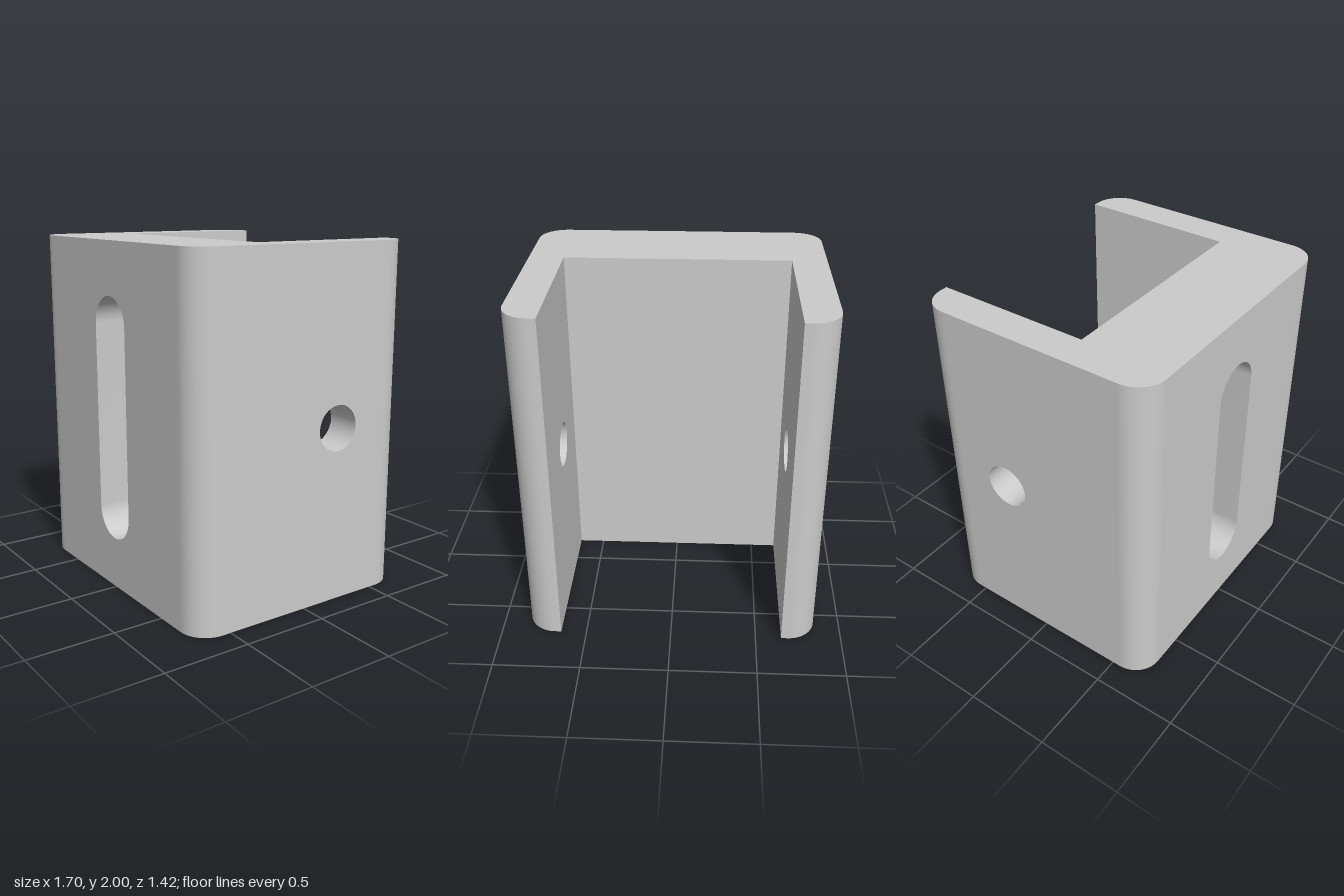
import * as THREE from 'three';
import { toCreasedNormals } from 'three/addons/utils/BufferGeometryUtils.js';

const H = 2, X = 0.85, Z = 0.71;        // height, half width, half depth
const INNER_X = 0.65, INNER_Z = 0.19;   // inside faces of the channel
const R = 0.16;                         // outer corner radius
const SLOT_R = 0.162, SLOT_LOW = 0.3, SLOT_HIGH = 1.7, SLOT_DEPTH = 0.225;
const HOLE_R = 0.13, HOLE_Z = -0.215;

const material = new THREE.MeshStandardMaterial({ color: 0xcccccc });

function addPart(group, name, geometry) {
  const mesh = new THREE.Mesh(toCreasedNormals(geometry, 0.5), material);
  mesh.name = name;
  group.add(mesh);
}

function extrude(shape, depth) {
  return new THREE.ExtrudeGeometry(shape, { depth, bevelEnabled: false, curveSegments: 32 });
}

function rectangle(halfWidth) {
  return new THREE.Shape([
    new THREE.Vector2(-halfWidth, 0), new THREE.Vector2(halfWidth, 0),
    new THREE.Vector2(halfWidth, H), new THREE.Vector2(-halfWidth, H),
  ]);
}

// Upright edge post with one rounded outer corner; sx and sz choose the corner
function edgePost(sx, sz) {
  const points = [
    [INNER_X, Z], [INNER_X, Z - R], [X, Z - R],
  ].map(([x, z]) => new THREE.Vector2(sx * x, -sz * z));
  const steps = 16;
  for (let i = 1; i <= steps; i++) {
    const a = (i / steps) * Math.PI / 2;
    points.push(new THREE.Vector2(
      sx * (X - R + R * Math.cos(a)), -sz * (Z - R + R * Math.sin(a))));
  }
  return extrude(new THREE.Shape(points), H).rotateX(-Math.PI / 2);
}

export function createModel() {
  const group = new THREE.Group();
  group.name = 'channelBracket';

  // Front layer of the web, pierced by the long slot
  const face = rectangle(INNER_X);
  const slot = new THREE.Path();
  slot.absarc(0, SLOT_HIGH - SLOT_R, SLOT_R, 0, Math.PI, false);
  slot.absarc(0, SLOT_LOW + SLOT_R, SLOT_R, Math.PI, Math.PI * 2, false);
  slot.closePath();
  face.holes.push(slot);
  addPart(group, 'slottedFrontPlate', extrude(face, SLOT_DEPTH).translate(0, 0, Z - SLOT_DEPTH));

  // Solid rear layer of the web, closing the slot
  const backDepth = Z - SLOT_DEPTH - INNER_Z;
  addPart(group, 'backingPlate', new THREE.BoxGeometry(INNER_X * 2, H, backDepth)
    .translate(0, H / 2, INNER_Z + backDepth / 2));

  // Side walls with a round through hole, finished by rounded edges
  for (const [side, sx] of [['left', 1], ['right', -1]]) {
    const wall = rectangle(Z - R);
    const hole = new THREE.Path();
    hole.absarc(-HOLE_Z, H / 2, HOLE_R, 0, Math.PI * 2, false);
    wall.holes.push(hole);
    addPart(group, side + 'Wall', extrude(wall, X - INNER_X)
      .rotateY(Math.PI / 2).translate(sx > 0 ? INNER_X : -X, 0, 0));
    addPart(group, side + 'FrontEdge', edgePost(sx, 1));
    addPart(group, side + 'BackEdge', edgePost(sx, -1));
  }
  return group;
}
